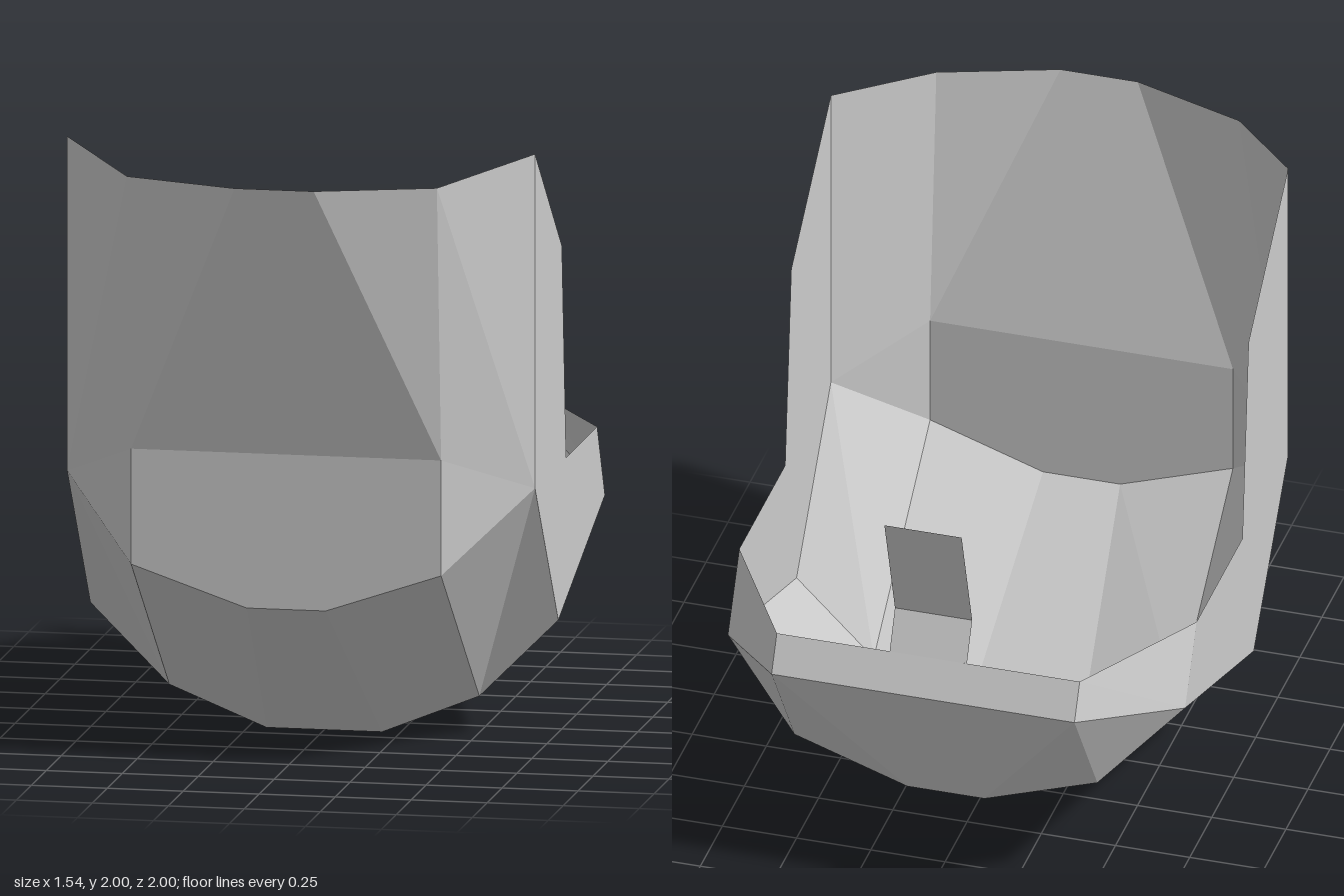
import * as THREE from 'three';

// Corner points of the left half (+x); the right half is mirrored.
const P = {
  frontTopInner: [0.13, 1.94, 1], frontTopOuter: [0.51, 1.94, 0.87], sideTop: [0.77, 2, 0.55],
  frontWaist: [0.51, 1.03, 0.8], sideWaist: [0.77, 0.9, 0.55],
  chinInner: [0.13, 0.52, 0.8], chinOuter: [0.51, 0.65, 0.8],
  keelInner: [0.19, 0, 0.16], keelOuter: [0.51, 0.13, 0.16], keelSide: [0.77, 0.39, 0.16],
  wallTopBack: [0.77, 1.61, 0.1], wallFoot: [0.77, 0.9, 0.03],
  rimSide: [0.77, 0.9, -0.49], rimBack: [0.51, 0.9, -0.94],
  lipBack: [0.51, 0.78, -1], lipSide: [0.77, 0.65, -0.62],
  sternOuter: [0.51, 0.39, -0.74], sternInner: [0.13, 0.26, -0.74],
  tabFoot: [0.13, 0.9, -0.94], tabBend: [0.13, 1.03, -0.88], tabTop: [0.13, 1.42, -1],
};

const flip = ([x, y, z]) => [-x, y, z];

// Mesh from polygons, each fanned out from its first corner.
function panel(name, polygons) {
  const pos = [];
  for (const p of polygons)
    for (let i = 1; i < p.length - 1; i++) pos.push(...p[0], ...p[i], ...p[i + 1]);
  const geo = new THREE.BufferGeometry();
  geo.setAttribute('position', new THREE.Float32BufferAttribute(pos, 3));
  geo.computeVertexNormals();
  const mesh = new THREE.Mesh(geo, new THREE.MeshStandardMaterial({
    color: 0xcccccc, flatShading: true, side: THREE.DoubleSide,
  }));
  mesh.name = name;
  return mesh;
}

// Strip across the middle, joining each point to its mirror image.
function centreStrip(name, keys) {
  const quads = [];
  for (let i = 0; i < keys.length - 1; i++) {
    const a = P[keys[i]], b = P[keys[i + 1]];
    quads.push([a, flip(a), flip(b), b]);
  }
  return panel(name, quads);
}

// Left and right copies of a set of polygons.
function mirroredPanels(name, polygons) {
  const left = polygons.map(keys => keys.map(k => P[k]));
  const right = left.map(poly => poly.map(flip).reverse());
  // keep the same fan corner on the mirrored side
  right.forEach(poly => poly.unshift(poly.pop()));
  const pair = new THREE.Group();
  pair.name = name;
  pair.add(panel(name + 'Left', left), panel(name + 'Right', right));
  return pair;
}

export function createModel() {
  const model = new THREE.Group();
  model.name = 'openShell';
  model.add(
    // middle of the shell: down the front, under the keel, up to the back rim
    centreStrip('frontPanel', ['frontTopInner', 'frontWaist', 'chinOuter', 'chinInner']),
    centreStrip('keelPanel', ['chinInner', 'keelInner', 'sternInner']),
    centreStrip('backPanel', ['sternInner', 'lipBack', 'rimBack']),
    // thin bent tab standing on the back rim
    centreStrip('backTab', ['tabFoot', 'tabBend', 'tabTop']),
    // tall front corners
    mirroredPanels('frontCorner', [
      ['frontTopInner', 'frontWaist', 'frontTopOuter'],
      ['frontTopOuter', 'frontWaist', 'sideWaist'],
      ['frontTopOuter', 'sideWaist', 'sideTop'],
      ['frontWaist', 'chinOuter', 'sideWaist'],
    ]),
    // facets sloping from the front down to the keel
    mirroredPanels('lowerFront', [
      ['chinOuter', 'keelOuter', 'sideWaist'],
      ['sideWaist', 'keelOuter', 'keelSide'],
      ['chinInner', 'keelInner', 'keelOuter'],
      ['chinInner', 'keelOuter', 'chinOuter'],
    ]),
    // flat L-shaped side walls
    mirroredPanels('sideWall', [
      ['wallFoot', 'wallTopBack', 'sideTop', 'sideWaist', 'keelSide', 'lipSide', 'rimSide'],
    ]),
    // underside towards the back
    mirroredPanels('underside', [
      ['keelSide', 'keelOuter', 'lipSide'],
      ['keelOuter', 'sternOuter', 'lipSide'],
      ['keelInner', 'sternInner', 'keelOuter'],
      ['sternInner', 'sternOuter', 'keelOuter'],
    ]),
    // back corners and their bevelled rim
    mirroredPanels('backCorner', [
      ['sternOuter', 'lipBack', 'lipSide'],
      ['sternInner', 'lipBack', 'sternOuter'],
      ['lipSide', 'lipBack', 'rimBack', 'rimSide'],
    ]),
  );
  return model;
}
